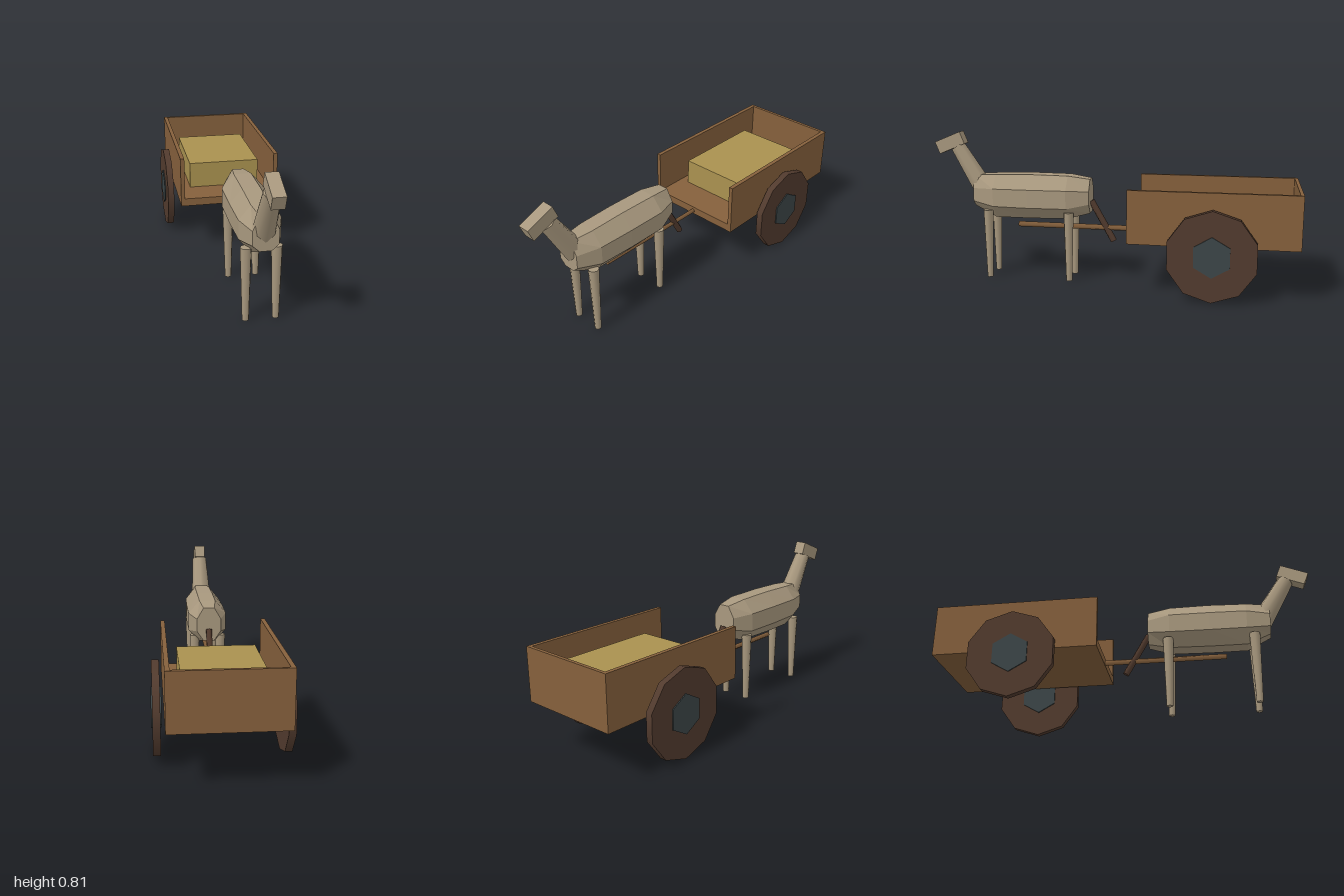
import * as THREE from 'three';

const paint = (name, color) => {
  const m = new THREE.MeshStandardMaterial({ color });
  m.name = name;
  return m;
};

export function createModel() {
  const model = new THREE.Group();
  const hide = paint('hide', 0xa8987e);
  hide.flatShading = true;
  const limbHide = hide.clone();
  limbHide.flatShading = false;
  const wood = paint('cart wood', 0x85603c);
  const darkWood = paint('dark wood', 0x523b2e);
  const iron = paint('hub iron', 0x3c4648);
  const hay = paint('hay', 0xa9914f);

  const add = (parent, name, geometry, material, x = 0, y = 0, z = 0) => {
    const mesh = new THREE.Mesh(geometry, material);
    mesh.name = name;
    mesh.position.set(x, y, z);
    parent.add(mesh);
    return mesh;
  };

  // Tapered round bar between two points in the x = 0 plane, given as [y, z]
  const bar = (parent, name, a, b, ra, rb, sides, material) => {
    const from = new THREE.Vector3(0, ...a), to = new THREE.Vector3(0, ...b);
    const dir = to.clone().sub(from);
    const mesh = add(parent, name, new THREE.CylinderGeometry(rb, ra, dir.length(), sides), material);
    mesh.position.copy(from).add(to).multiplyScalar(0.5);
    mesh.rotation.x = Math.atan2(dir.z, dir.y);
    return mesh;
  };

  // ---- Animal ----
  const animal = new THREE.Group();
  animal.name = 'animal';
  model.add(animal);

  // Body: octagonal sections [z, half width, flat half width, bottom, low side, high side, top]
  const sections = [
    [0.115, 0.067, 0.03, 0.375, 0.43, 0.5, 0.563],
    [0.235, 0.107, 0.045, 0.343, 0.408, 0.507, 0.58],
    [0.45, 0.107, 0.045, 0.338, 0.406, 0.506, 0.582],
    [0.645, 0.102, 0.044, 0.338, 0.408, 0.505, 0.576],
    [0.77, 0.063, 0.029, 0.397, 0.428, 0.5, 0.57],
  ];
  const points = [], faces = [];
  for (const [z, w, f, b, lo, hi, t] of sections)
    for (const [x, y] of [[f, b], [w, lo], [w, hi], [f, t], [-f, t], [-w, hi], [-w, lo], [-f, b]])
      points.push(x, y, z);
  for (let i = 0; i < sections.length - 1; i++)
    for (let j = 0; j < 8; j++) {
      const a = i * 8 + j, b = i * 8 + (j + 1) % 8;
      faces.push(a, b, b + 8, a, b + 8, a + 8);
    }
  const last = (sections.length - 1) * 8;
  for (let j = 1; j < 7; j++)
    faces.push(0, j + 1, j, last, last + j, last + j + 1);
  const indexed = new THREE.BufferGeometry();
  indexed.setAttribute('position', new THREE.Float32BufferAttribute(points, 3));
  indexed.setIndex(faces);
  const bodyGeometry = indexed.toNonIndexed();
  bodyGeometry.computeVertexNormals();
  add(animal, 'body', bodyGeometry, hide);

  // Neck, head and tail
  bar(animal, 'neck', [0.465, 0.716], [0.723, 0.873], 0.06, 0.043, 8, limbHide);
  const head = add(animal, 'head', new THREE.BoxGeometry(0.063, 0.071, 0.157), hide, 0, 0.745, 0.911);
  head.rotation.x = 0.39;
  bar(animal, 'tail', [0.44, 0.113], [0.219, -0.012], 0.018, 0.018, 6, darkWood);

  // Legs
  const legGeometry = new THREE.CylinderGeometry(0.028, 0.017, 0.383, 8);
  for (const side of [1, -1]) {
    add(animal, 'frontLeg', legGeometry, limbHide, side * 0.074, 0.1915, 0.682);
    add(animal, 'hindLeg', legGeometry, limbHide, side * 0.074, 0.1915, 0.226);
  }

  // ---- Cart ----
  const cart = new THREE.Group();
  cart.name = 'cart';
  model.add(cart);
  const box = (name, w, h, d, material, x, y, z) =>
    add(cart, name, new THREE.BoxGeometry(w, h, d), material, x, y, z);

  // Bed, open at the front
  box('floor', 0.55, 0.043, 0.875, wood, 0, 0.2965, -0.5625);
  box('backWall', 0.506, 0.237, 0.018, wood, 0, 0.4365, -0.991);
  for (const side of [1, -1])
    box('sideWall', 0.022, 0.237, 0.875, wood, side * 0.264, 0.4365, -0.5625);
  box('hayLoad', 0.4, 0.145, 0.525, hay, 0, 0.3905, -0.5675);

  // Shaft: square bar set on edge
  bar(cart, 'shaft', [0.293, -0.14], [0.293, 0.53], 0.015, 0.015, 4, wood);

  // Wheels and hubs
  const wheelGeometry = new THREE.CylinderGeometry(0.236, 0.236, 0.036, 10);
  const hubGeometry = new THREE.CylinderGeometry(0.105, 0.105, 0.05, 6);
  for (const g of [wheelGeometry, hubGeometry]) g.rotateY(Math.PI / 2).rotateZ(Math.PI / 2);
  for (const side of [1, -1]) {
    add(cart, 'wheel', wheelGeometry, darkWood, side * 0.31, 0.238, -0.5625);
    add(cart, 'hub', hubGeometry, iron, side * 0.309, 0.238, -0.5625);
  }
  return model;
}
